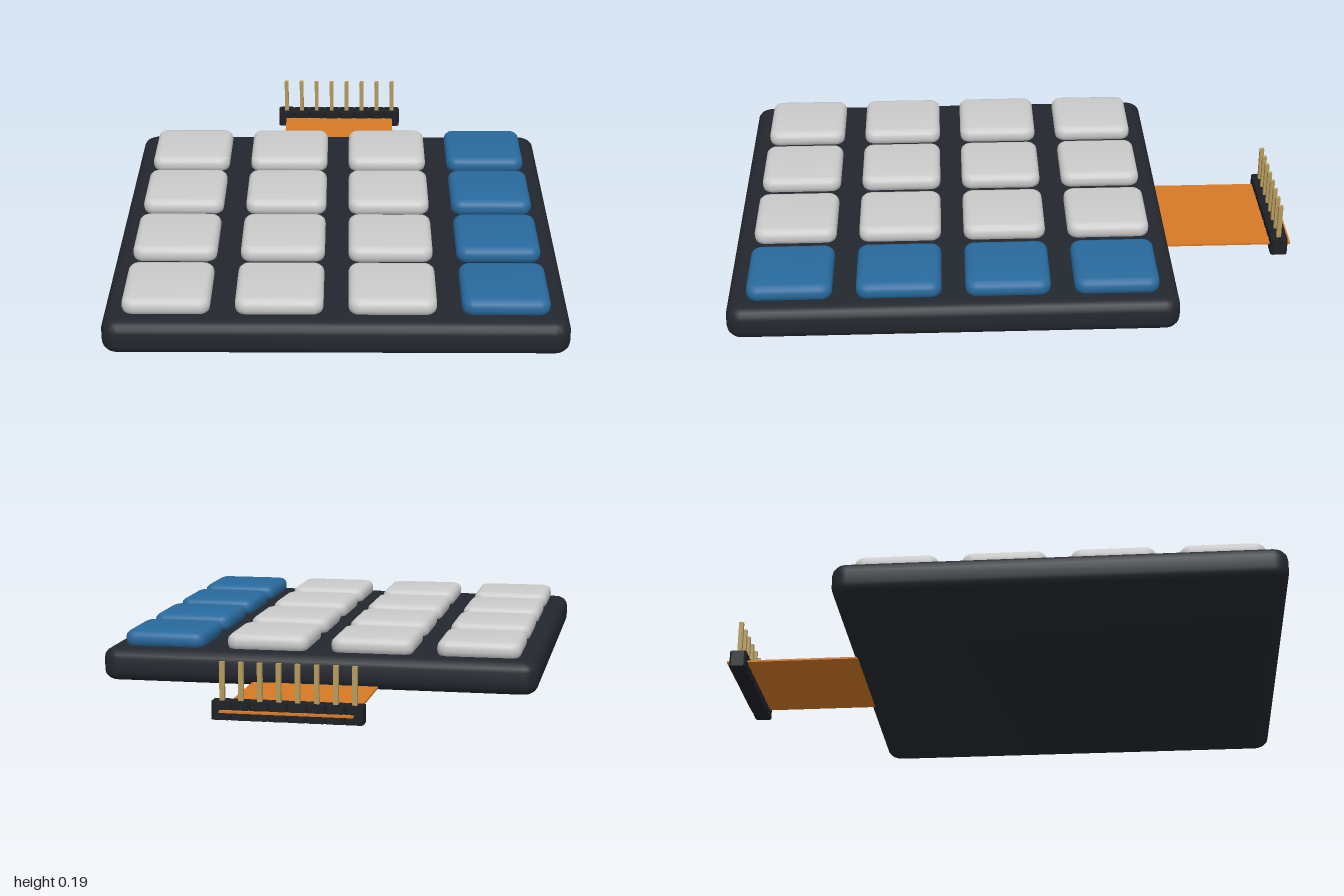
import * as THREE from 'three';
import { toCreasedNormals } from 'three/addons/utils/BufferGeometryUtils.js';

const mat = (color) => new THREE.MeshStandardMaterial({ color });

// Rounded slab lying flat, bottom at y = 0, with softened top and bottom rims
function slab(width, length, height, corner, rimIn, rimHeight, segments) {
  const w = width / 2 - rimIn, l = length / 2 - rimIn, r = corner;
  const s = new THREE.Shape();
  s.moveTo(-w + r, -l);
  s.lineTo(w - r, -l);
  s.absarc(w - r, -l + r, r, -Math.PI / 2, 0);
  s.lineTo(w, l - r);
  s.absarc(w - r, l - r, r, 0, Math.PI / 2);
  s.lineTo(-w + r, l);
  s.absarc(-w + r, l - r, r, Math.PI / 2, Math.PI);
  s.lineTo(-w, -l + r);
  s.absarc(-w + r, -l + r, r, Math.PI, Math.PI * 1.5);
  const geo = new THREE.ExtrudeGeometry(s, {
    depth: height - 2 * rimHeight, bevelEnabled: true, bevelSize: rimIn,
    bevelThickness: rimHeight, bevelSegments: segments, curveSegments: 4,
  });
  geo.rotateX(-Math.PI / 2).translate(0, rimHeight, 0);
  return toCreasedNormals(geo, 0.6);
}

// One pin housing: a block with chamfered vertical corners
function housingBlock(w, d, h, c) {
  const x = w / 2, z = d / 2;
  const s = new THREE.Shape([
    [-x + c, -z], [x - c, -z], [x, -z + c], [x, z - c],
    [x - c, z], [-x + c, z], [-x, z - c], [-x, -z + c],
  ].map(([a, b]) => new THREE.Vector2(a, b)));
  const geo = new THREE.ExtrudeGeometry(s, { depth: h, bevelEnabled: false });
  return geo.rotateX(-Math.PI / 2);
}

export function createModel() {
  const model = new THREE.Group();
  model.name = 'keypad';
  const add = (parent, name, geo, material, x, y, z) => {
    const mesh = new THREE.Mesh(geo, material);
    mesh.name = name;
    mesh.position.set(x, y, z);
    parent.add(mesh);
    return mesh;
  };
  const group = (name) => {
    const g = new THREE.Group();
    g.name = name;
    model.add(g);
    return g;
  };

  const dark = mat(0x23272e), light = mat(0xd2d3d4), blue = mat(0x286a9e);
  const orange = mat(0xd67926), brass = mat(0xb59a5c), black = mat(0x1d2025);
  const centreZ = 0.2325;

  // Body
  add(model, 'body', slab(1.53, 1.535, 0.117, 0.012, 0.043, 0.036, 4), dark, 0, 0.018, centreZ);

  // Four by four keys, the column on the model's left in blue
  const keys = group('keys');
  const keyGeo = slab(0.29, 0.29, 0.06, 0.014, 0.024, 0.024, 3);
  for (let row = 0; row < 4; row++) {
    for (let col = 0; col < 4; col++) {
      add(keys, `key_${row + 1}_${col + 1}`, keyGeo, col === 3 ? blue : light,
        (col - 1.5) * 0.371, 0.127, centreZ + (row - 1.5) * 0.37);
    }
  }

  // Flat ribbon cable, passing through the connector
  add(model, 'ribbonCable', new THREE.BoxGeometry(0.44, 0.007, 0.5), orange, 0, 0.03, -0.75);

  // Eight-way pin connector
  const connector = group('connector');
  const pitch = 0.0625;
  const blockGeo = housingBlock(pitch, 0.06, 0.06, 0.007);
  const pinGeo = new THREE.BoxGeometry(0.016, 0.172, 0.016);
  for (let i = 0; i < 8; i++) {
    const x = (i - 3.5) * pitch;
    add(connector, `housing_${i + 1}`, blockGeo, black, x, 0, -0.955);
    add(connector, `pin_${i + 1}`, pinGeo, brass, x, 0.101, -0.955);
  }

  return model;
}
